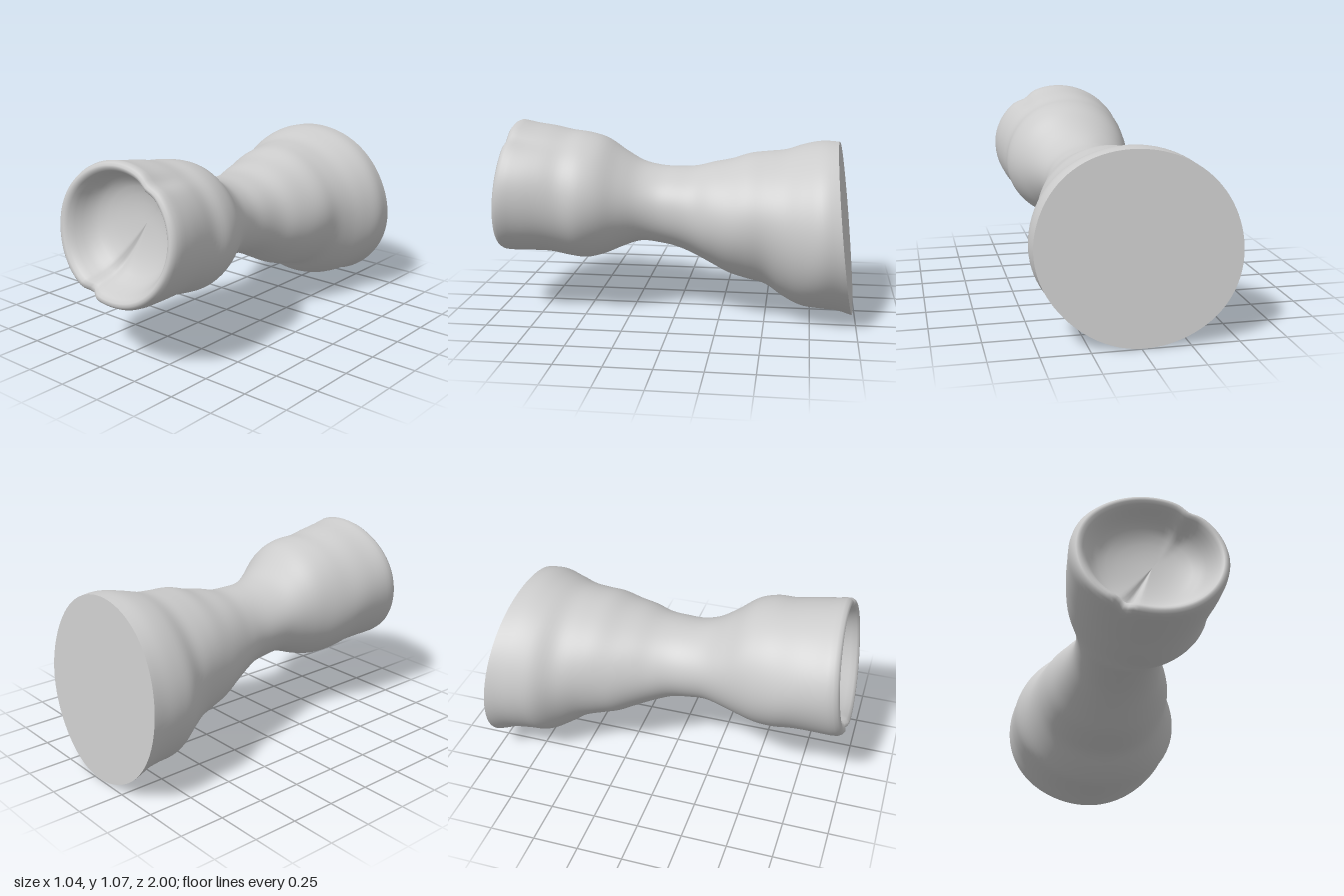
import * as THREE from 'three';

// Body silhouette: z, left x, right x, bottom y, top y
const PROFILE = [
  [-1.0, -0.525, 0.505, 0.0, 0.96], [-0.9, -0.51, 0.51, 0.03, 0.965], [-0.8, -0.5, 0.52, 0.04, 0.97],
  [-0.7, -0.48, 0.49, 0.05, 0.95], [-0.6, -0.42, 0.45, 0.1, 0.92], [-0.5, -0.38, 0.42, 0.17, 0.91],
  [-0.4, -0.35, 0.41, 0.2, 0.9], [-0.3, -0.32, 0.39, 0.23, 0.87], [-0.2, -0.28, 0.36, 0.28, 0.85],
  [-0.1, -0.24, 0.32, 0.33, 0.825], [0.0, -0.21, 0.3, 0.37, 0.82], [0.1, -0.205, 0.29, 0.39, 0.825],
  [0.2, -0.215, 0.31, 0.4, 0.85], [0.3, -0.24, 0.36, 0.37, 0.91], [0.4, -0.27, 0.42, 0.33, 0.98],
  [0.5, -0.295, 0.45, 0.305, 1.01], [0.6, -0.31, 0.445, 0.31, 1.02], [0.7, -0.32, 0.46, 0.33, 1.04],
  [0.8, -0.325, 0.475, 0.335, 1.055], [0.9, -0.33, 0.48, 0.335, 1.075], [1.0, -0.33, 0.48, 0.335, 1.08],
];

// Rounded lip and hollow: scale of the section, depth behind the rim
const CUP = [
  [0.99, 0.03], [0.965, 0.01], [0.93, 0], [0.89, 0.002], [0.85, 0.015], [0.81, 0.045], [0.77, 0.08],
  [0.72, 0.115], [0.65, 0.145], [0.55, 0.168], [0.42, 0.185], [0.28, 0.195], [0.14, 0.2], [0, 0.2],
];

const SEGMENTS = 96;
const RINGS = 72;
const bump = (x, centre, width) => Math.exp(-(((x - centre) / width) ** 2));

// Smoothly interpolated silhouette at z
function boundsAt(z) {
  const f = THREE.MathUtils.clamp((z + 1) * 10, 0, 19.999);
  const i = Math.floor(f), t = f - i;
  const row = (k) => PROFILE[THREE.MathUtils.clamp(k, 0, 20)];
  return [1, 2, 3, 4].map((c) => {
    const [p, q, r, s] = [row(i - 1)[c], row(i)[c], row(i + 1)[c], row(i + 2)[c]];
    return q + 0.5 * t * (r - p + t * (2 * p - 5 * q + 4 * r - s + t * (3 * (q - r) + s - p)));
  });
}

// Point on the body wall; scale < 1 moves it in toward the section centre
function wallPoint(angle, z, scale = 1) {
  const [l, r, b, t] = boundsAt(z);
  // Dent near the upper right of the lip, plus slight unevenness
  const dent = 0.05 * bump(angle, 0.98, 0.13) * THREE.MathUtils.smoothstep(z, 0.55, 0.9);
  const wobble = 0.008 * Math.sin(3 * angle + 5 * z) * Math.sin(4 * z + 2 * angle);
  const k = scale * (1 - dent + wobble);
  const inset = 1 - scale;
  return [
    (l + r) / 2 + ((r - l) / 2) * k * Math.cos(angle) + 0.04 * inset,
    (b + t) / 2 + ((t - b) / 2) * k * Math.sin(angle) + 0.03 * inset,
    z,
  ];
}

// Slanted flat base and uneven rim
const baseZ = (a) => -0.94 + 0.03 * Math.cos(a) + 0.055 * Math.sin(a);
const rimZ = (a) => 0.953 - 0.042 * Math.sin(a) - 0.005 * Math.cos(a) - 0.035 * bump(a, 4.31, 0.1);

function makeGeometry(positions, index) {
  const geometry = new THREE.BufferGeometry();
  geometry.setAttribute('position', new THREE.Float32BufferAttribute(positions, 3));
  geometry.setIndex(index);
  geometry.computeVertexNormals();
  return geometry;
}

// Joins rings of SEGMENTS points into a closed skin
function skin(rings) {
  const index = [];
  for (let r = 0; r < rings.length - 1; r++) {
    for (let i = 0; i < SEGMENTS; i++) {
      const j = (i + 1) % SEGMENTS;
      const a = r * SEGMENTS + i, b = r * SEGMENTS + j;
      index.push(a, b, a + SEGMENTS, b, b + SEGMENTS, a + SEGMENTS);
    }
  }
  return makeGeometry(rings.flat(2), index);
}

export function createModel() {
  const group = new THREE.Group();
  group.name = 'waistedCup';
  const material = new THREE.MeshStandardMaterial({ color: 0xcccccc });
  const add = (name, geometry) => {
    const mesh = new THREE.Mesh(geometry, material);
    mesh.name = name;
    group.add(mesh);
  };
  const angles = Array.from({ length: SEGMENTS }, (_, i) => (i / SEGMENTS) * Math.PI * 2);

  // Outer wall, from the slanted base to just behind the rim
  const rings = [];
  for (let r = 0; r <= RINGS; r++) {
    rings.push(angles.map((a) => wallPoint(a, THREE.MathUtils.lerp(baseZ(a), rimZ(a) - 0.06, r / RINGS))));
  }

  // Lip and hollow; the rim's unevenness fades toward the floor
  for (const [scale, depth] of CUP) {
    rings.push(angles.map((a) => {
      const p = wallPoint(a, rimZ(a), scale);
      p[2] = THREE.MathUtils.lerp(0.95, rimZ(a), Math.min(1, scale * 1.1)) - depth;
      return p;
    }));
  }
  add('bodyAndCup', skin(rings));

  // Flat base
  const centre = [0, 0.48, -0.94];
  const fan = angles.flatMap((_, i) => [0, ((i + 1) % SEGMENTS) + 1, i + 1]);
  add('base', makeGeometry([centre, ...rings[0]].flat(), fan));

  return group;
}
